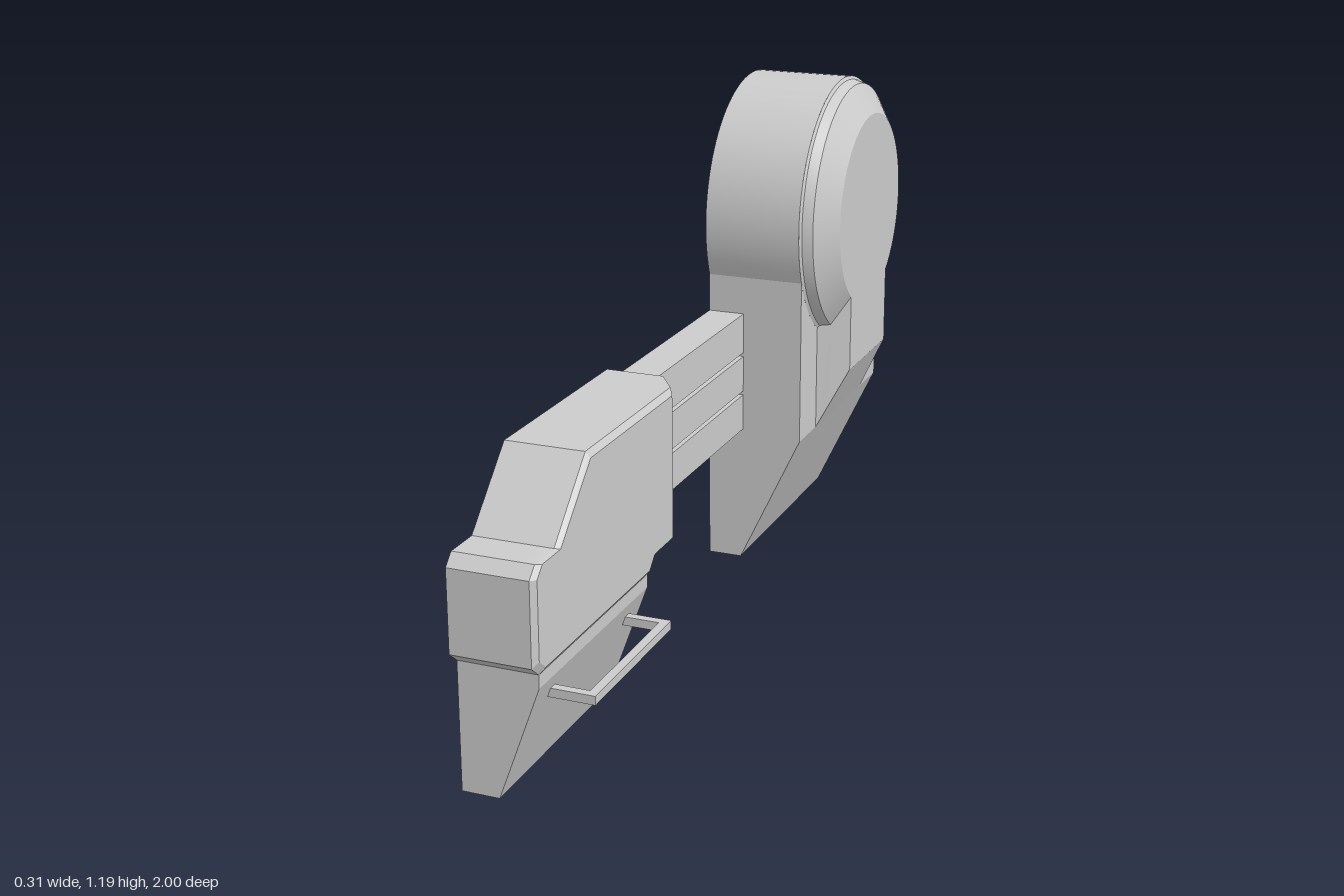
import * as THREE from 'three';
import { toCreasedNormals, mergeGeometries } from 'three/addons/utils/BufferGeometryUtils.js';

const material = new THREE.MeshStandardMaterial({ color: 0xcccccc, side: THREE.DoubleSide });

// Skin between rows of [x, y, z] points; close joins the last column to the first
function loft(rows, { close = false, skip = [] } = {}) {
  const n = rows[0].length, index = [];
  for (let i = 0; i < rows.length - 1; i++) {
    for (let j = 0; j < (close ? n : n - 1); j++) {
      if (skip.includes(j)) continue;
      const k = (j + 1) % n, a = i * n + j, b = i * n + k;
      index.push(a, b, b + n, a, b + n, a + n);
    }
  }
  const g = new THREE.BufferGeometry();
  g.setAttribute('position', new THREE.Float32BufferAttribute(rows.flat(2), 3));
  g.setIndex(index);
  return g;
}

// Flat face at a given x from [z, y] points
function plate(points, x) {
  const shape = new THREE.Shape(points.map(([z, y]) => new THREE.Vector2(-z, y)));
  return new THREE.ShapeGeometry(shape).rotateY(Math.PI / 2).translate(x, 0, 0);
}

function addPart(group, name, parts) {
  const bare = parts.map((p) => {
    const g = p.index ? p.toNonIndexed() : p;
    g.deleteAttribute('uv');
    g.deleteAttribute('normal');
    return g;
  });
  const mesh = new THREE.Mesh(toCreasedNormals(mergeGeometries(bare), 0.35), material);
  mesh.name = name;
  group.add(mesh);
}

const BACK = -0.16;

function addHousing(group) {
  const CZ = -0.673, CY = 0.863, R = 0.327, LEG = 0.302;
  const XF = 0.08, XT = 0.155, YF = 0.33;
  // Arc of [z, y] points; angle measured from straight down
  const arc = (r, from, to, n) => Array.from({ length: n + 1 }, (_, i) => {
    const t = from + ((to - from) * i) / n;
    return [CZ - r * Math.sin(t), CY - r * Math.cos(t)];
  });
  const overTop = (r, halfWidth) => {
    const a = Math.asin(halfWidth / r);
    return arc(r, a, 2 * Math.PI - a, 56);
  };
  const neckHalf = (x) => 0.18 - ((x - XF) / (XT - XF)) * 0.038;
  const neckFoot = (x) => YF + (x - XF) * 2;

  // Outer wall with rounded top and sloped foot
  const front = [
    [-0.075, 0, CZ - LEG], [XF, YF, CZ - LEG],
    ...overTop(R, LEG).map(([z, y]) => [XF, y, z]),
    [XF, YF, CZ + LEG], [-0.075, 0, CZ + LEG],
  ];
  const back = front.map(([, y, z]) => [BACK, y, z]);
  addPart(group, 'housingWall', [loft([back, front], { close: true })]);

  // Sloped lower face
  const span = (x, y, w) => [[x, y, CZ - w], [x, y, CZ + w]];
  addPart(group, 'housingSlope', [
    loft([span(-0.075, 0, LEG), span(XF, YF, LEG)]),
    loft([span(XF, YF, neckHalf(XF)), span(XT, neckFoot(XT), neckHalf(XT))]),
  ]);

  // Flat cheeks either side of the neck
  const edge = arc(R, Math.asin(0.18 / R), Math.asin(LEG / R), 10);
  const cheek = [[CZ - 0.18, YF], ...edge, [CZ - LEG, YF]];
  addPart(group, 'housingCheeks', [
    plate(cheek, XF), plate(cheek.map(([z, y]) => [2 * CZ - z, y]), XF),
  ]);

  // Bevelled round cover running into the neck
  const rings = [[XF, R], [0.085, 0.319], [0.11, 0.311], [XT, 0.24]];
  const rows = rings.map(([x, r]) => overTop(r, neckHalf(x)).map(([z, y]) => [x, y, z]));
  const capEdge = overTop(0.24, neckHalf(XT));
  const cap = [[CZ - neckHalf(XT), neckFoot(XT)], ...capEdge, [CZ + neckHalf(XT), neckFoot(XT)]];
  addPart(group, 'roundCover', [loft(rows), plate(cap, XT)]);

  // Slanted neck sides
  const rear = rows.map((r) => r[0]), fore = rows.map((r) => r[r.length - 1]);
  const feet = (s) => rings.map(([x]) => [x, neckFoot(x), CZ + s * neckHalf(x)]);
  addPart(group, 'neckSides', [loft([rear, feet(-1)]), loft([feet(1), fore])]);
}

function addArm(group) {
  // Three strips divided by narrow deep grooves
  const section = [[BACK, 0.645], [-0.07, 0.645]];
  for (const y of [0.54, 0.44]) {
    section.push([-0.07, y + 0.005], [BACK, y + 0.005], [BACK, y - 0.005], [-0.07, y - 0.005]);
  }
  section.push([-0.07, 0.345], [BACK, 0.345]);
  addPart(group, 'groovedArm', [loft([0.3, -0.45].map((z) => section.map(([x, y]) => [x, y, z])))]);
}

function addFrontBody(group) {
  // Upper block: side outline as [z, y], stacked outwards with bevels
  const outline = [
    [0.24, 0.32], [0.24, 0.675], [0.74, 0.675], [0.89, 0.525], [0.975, 0.525],
    [1.0, 0.5], [1.0, 0.315], [0.97, 0.29], [0.44, 0.29], [0.41, 0.32],
  ];
  const shoulder = outline.map(([z, y]) => [Math.max(z, 0.305), y]);
  const face = shoulder.map(([z, y]) => [0.65 + (z - 0.65) * 0.96, 0.48 + (y - 0.48) * 0.93]);
  const at = (pts, x) => pts.map(([z, y]) => [x, y, z]);
  addPart(group, 'upperBody', [
    loft([at(outline, BACK), at(outline, -0.025), at(shoulder, 0.02)], { close: true, skip: [7] }),
    loft([at(shoulder, 0.02), at(face, 0.03)], { close: true }),
    plate(face, 0.03),
  ]);
  // Rear end wall around the arm
  addPart(group, 'bodyEndWall', [
    loft([[[BACK, 0.32, 0.24], [BACK, 0.675, 0.24]], [[-0.025, 0.32, 0.24], [-0.025, 0.675, 0.24]]]),
  ]);

  // Lower block: tapered tray open on its back
  const taper = [[BACK, 0.29], [0.02, 0.29], [0.02, 0.26], [-0.075, 0], [BACK, 0]];
  const end = (z) => new THREE.ShapeGeometry(
    new THREE.Shape(taper.map(([x, y]) => new THREE.Vector2(x, y)))).translate(0, 0, z);
  const skin = [0.97, 0.44].map((z) => taper.slice(1).map(([x, y]) => [x, y, z]));
  const rearEnd = end(0).rotateY(Math.PI).scale(-1, 1, 1).translate(0, 0, 0.44);
  addPart(group, 'lowerBody', [loft(skin), end(0.97), rearEnd]);
}

function addHandle(group) {
  // U-shaped bar, drawn in x and -z, then laid flat
  const u = [
    [-0.015, -0.895], [0.105, -0.895], [0.105, -0.51], [-0.015, -0.51],
    [-0.015, -0.53], [0.085, -0.53], [0.085, -0.875], [-0.015, -0.875],
  ];
  const shape = new THREE.Shape(u.map(([x, y]) => new THREE.Vector2(x, y)));
  const bar = new THREE.ExtrudeGeometry(shape, { depth: 0.02, bevelEnabled: false });
  addPart(group, 'handle', [bar.rotateX(-Math.PI / 2).translate(0, 0.205, 0)]);
}

export function createModel() {
  const group = new THREE.Group();
  addHousing(group);
  addArm(group);
  addFrontBody(group);
  addHandle(group);
  return group;
}
